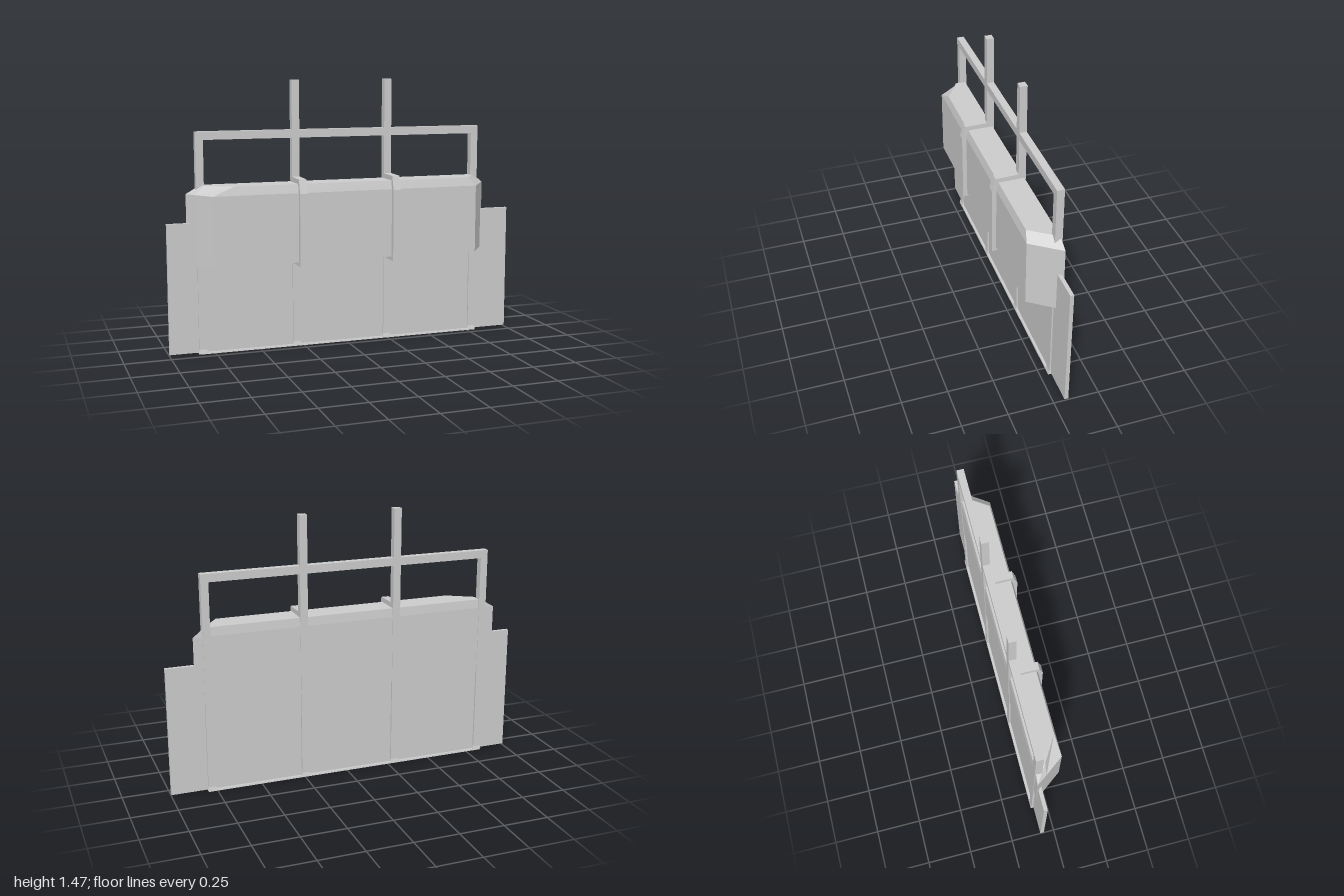
import * as THREE from 'three';

const material = new THREE.MeshStandardMaterial({ color: 0xcccccc, flatShading: true });

export function createModel() {
  const group = new THREE.Group();
  const add = (name, geometry) => {
    const mesh = new THREE.Mesh(geometry, material);
    mesh.name = name;
    group.add(mesh);
  };

  // Box given by its extents; flare widens the bottom end
  const box = (name, x0, x1, y0, y1, z0, z1, flareX = 0, flareZ = 0) => {
    const g = new THREE.BoxGeometry(x1 - x0, y1 - y0, z1 - z0);
    const p = g.attributes.position;
    for (let i = 0; i < p.count; i++) {
      if (p.getY(i) < 0) {
        p.setX(i, p.getX(i) + Math.sign(p.getX(i)) * flareX);
        p.setZ(i, p.getZ(i) + Math.sign(p.getZ(i)) * flareZ);
      }
    }
    g.translate((x0 + x1) / 2, (y0 + y1) / 2, (z0 + z1) / 2);
    g.computeVertexNormals();
    add(name, g);
  };

  // Thin back sheet
  box('panel', -1, 1, 0.008, 0.718, -0.08, -0.059);

  // Upright posts with flared feet
  const back = -0.091, front = -0.051;
  const posts = [[-0.84, 1.16], [-0.311, 1.473], [0.224, 1.473], [0.757, 1.16]];
  for (const [x, top] of posts) {
    box('post', x, x + 0.042, 0.025, top, back, front);
    box('postFoot', x, x + 0.042, 0.008, 0.025, back, front, 0.004, 0.004);
  }

  // Rails joining the posts
  box('topRail', -0.84, 0.799, 1.16, 1.204, back, front);
  box('bottomRail', -0.84, 0.799, 0, 0.009, -0.094, -0.046, 0.001, 0.002);

  // Faceted bumper block: rings of corners from bottom to top
  const base = [[-0.89, -0.088], [-0.85, -0.03], [-0.775, 0.072], [0.735, 0.072], [0.85, -0.088]];
  const crown = [[-0.81, -0.083], [-0.8, -0.025], [-0.66, 0.06], [0.69, 0.06], [0.79, -0.083]];
  const rings = [[0.495, base], [0.872, base], [0.92, crown]];
  const n = base.length;
  const positions = rings.flatMap(([y, ring]) => ring.flatMap(([x, z]) => [x, y, z]));
  const index = [];
  for (let r = 0; r < rings.length - 1; r++) {
    for (let i = 0; i < n; i++) {
      const a = r * n + i, b = r * n + (i + 1) % n;
      index.push(a, b, b + n, a, b + n, a + n);
    }
  }
  for (let i = 1; i < n - 1; i++) {
    index.push(0, i + 1, i);
    index.push(2 * n, 2 * n + i, 2 * n + i + 1);
  }
  const indexed = new THREE.BufferGeometry();
  indexed.setAttribute('position', new THREE.Float32BufferAttribute(positions, 3));
  indexed.setIndex(index);
  const bumper = indexed.toNonIndexed();
  bumper.computeVertexNormals();
  add('bumper', bumper);

  // Straps wrapping the bumper at the two tall posts, profile in z and y
  const profile = [[-0.051, 0.472], [0.097, 0.472], [0.097, 0.87], [0.076, 0.945], [-0.051, 0.948]];
  for (const x of [-0.311, 0.224]) {
    const shape = new THREE.Shape(profile.map(([z, y]) => new THREE.Vector2(z, y)));
    const g = new THREE.ExtrudeGeometry(shape, { depth: 0.042, bevelEnabled: false });
    g.rotateY(-Math.PI / 2);
    g.translate(x + 0.042, 0, 0);
    add('strap', g);
  }

  return group;
}
